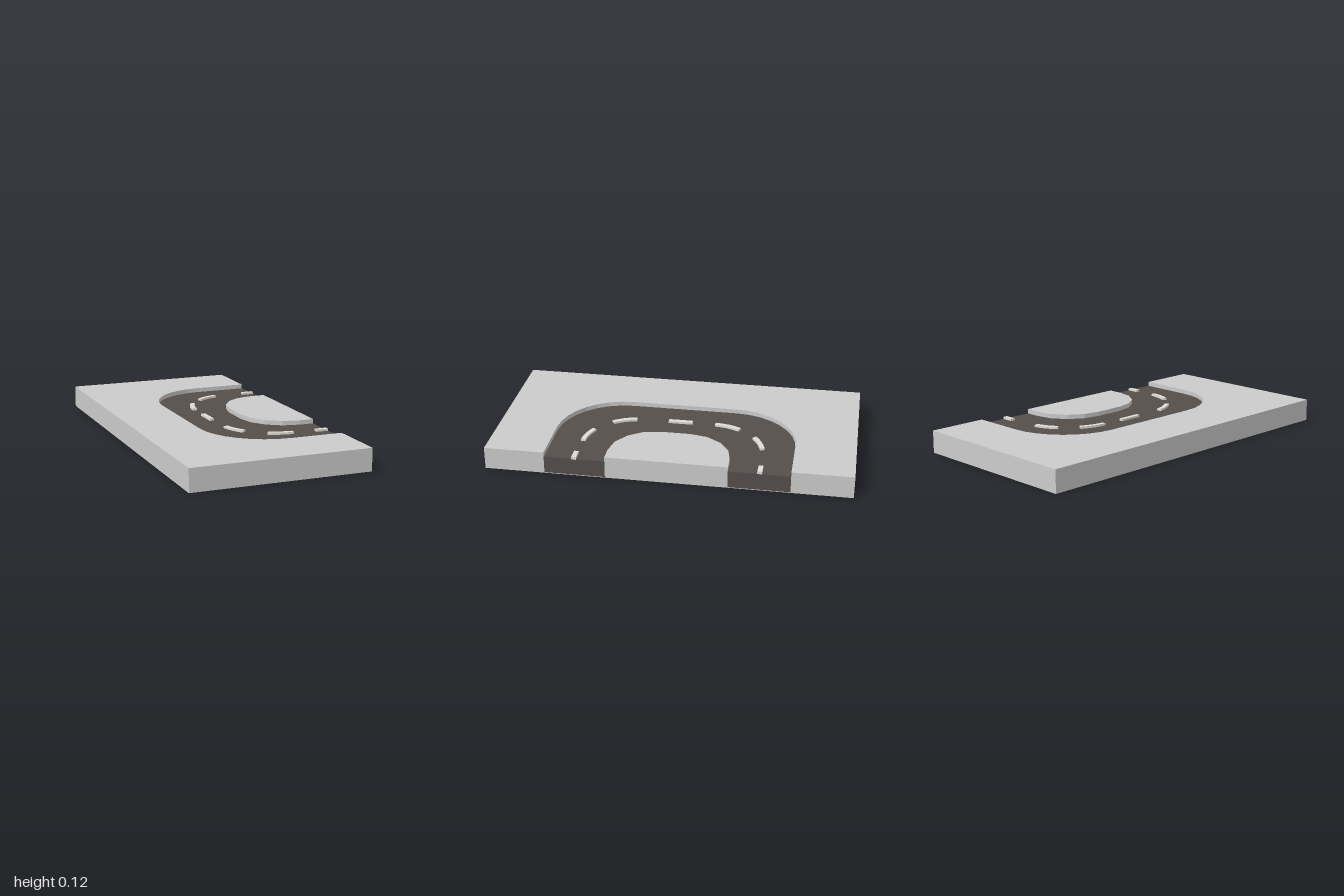
import * as THREE from 'three';

const HEIGHT = 0.125, ROAD_TOP = 0.1, FLOOR_TOP = 0.004, EDGE = 0.5;
const V = (x, z) => new THREE.Vector2(x, z);

// Points on an arc around (cx, cz); 0 degrees points to -x, 90 degrees to +z
function arc(cx, cz, r, from, to, steps) {
  return Array.from({ length: steps + 1 }, (_, i) => {
    const a = THREE.MathUtils.degToRad(from + ((to - from) * i) / steps);
    return V(cx - r * Math.cos(a), cz + r * Math.sin(a));
  });
}

// U-shaped line opening towards +x, from back to front
function uLine(cx, cz, r, steps) {
  return [
    V(EDGE, -cz - r),
    ...arc(cx, -cz, r, -90, 0, steps),
    ...arc(cx, cz, r, 0, 90, steps),
    V(EDGE, cz + r),
  ];
}

// Slab with an (x, z) outline between two heights
function slab(name, points, bottom, top, material) {
  const geometry = new THREE.ExtrudeGeometry(new THREE.Shape(points), {
    depth: top - bottom, bevelEnabled: false,
  });
  geometry.rotateX(Math.PI / 2).translate(0, top, 0);
  const mesh = new THREE.Mesh(geometry, material);
  mesh.name = name;
  return mesh;
}

export function createModel() {
  const group = new THREE.Group();
  group.name = 'roadTile';
  const grey = new THREE.MeshStandardMaterial({ color: 0xcccccc });
  const asphalt = new THREE.MeshStandardMaterial({ color: 0x544e4a });
  const paint = new THREE.MeshStandardMaterial({ color: 0xdfdcd4 });

  const outer = uLine(0.2, 0.3, 0.368, 8);
  const inner = uLine(0.417, 0.083, 0.25, 4);
  const road = [...outer, ...inner.slice().reverse()];

  // Raised ground around the road, the island inside it, and the floor below
  const ground = [...outer, V(EDGE, 1), V(-EDGE, 1), V(-EDGE, -1), V(EDGE, -1)];
  group.add(slab('ground', ground, 0, HEIGHT, grey));
  group.add(slab('island', inner, 0, HEIGHT, grey));
  group.add(slab('floor', road, 0, FLOOR_TOP, grey));

  // Sunken road
  group.add(slab('road', road, FLOOR_TOP, ROAD_TOP, asphalt));

  // Raised lane dashes
  const dashes = new THREE.Group();
  dashes.name = 'laneDashes';
  const half = 0.013;
  const addDash = (points) =>
    dashes.add(slab('laneDash', points, ROAD_TOP - 0.005, 0.112, paint));
  const straight = (x0, x1, z0, z1) =>
    addDash([V(x0, z0), V(x1, z0), V(x1, z1), V(x0, z1)]);
  straight(-0.015, 0.011, -0.07, 0.066);
  for (const z of [-0.502, 0.502]) straight(0.43, EDGE, z - half, z + half);
  for (const [cz, from, to] of [
    [-0.19, -30, -2], [-0.19, -78, -53], [0.19, 11, 37], [0.19, 62, 88],
  ]) {
    addDash([
      ...arc(0.307, cz, 0.307 + half, from, to, 4),
      ...arc(0.307, cz, 0.307 - half, to, from, 4),
    ]);
  }
  group.add(dashes);
  return group;
}
